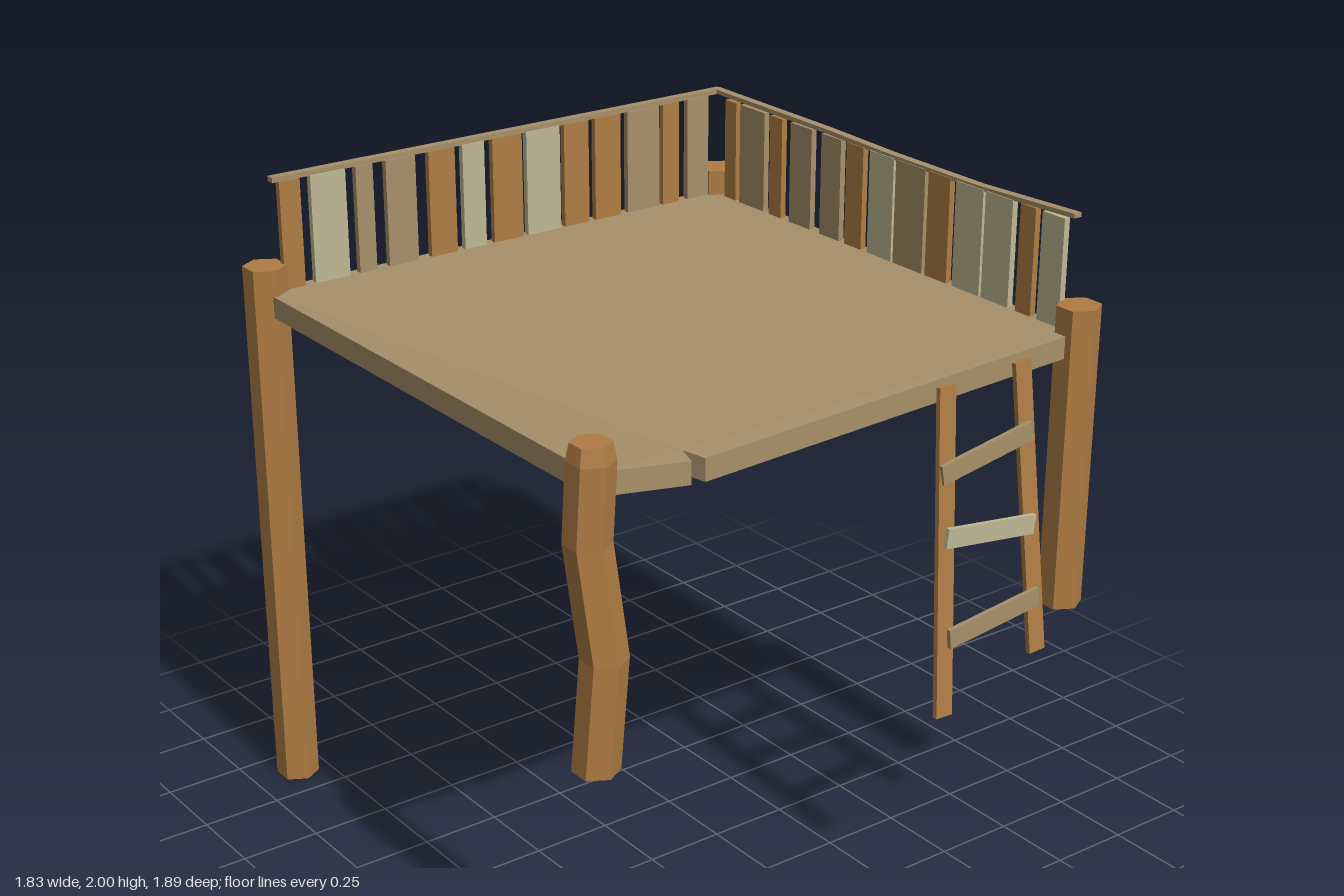
import * as THREE from 'three';

const mat = (color) => new THREE.MeshStandardMaterial({ color, flatShading: true });

export function createModel() {
  const group = new THREE.Group();
  const wood = { o: mat(0xb07d44), t: mat(0xa6906a), p: mat(0xbdb994) };

  const add = (name, geometry, material, x = 0, y = 0, z = 0) => {
    const mesh = new THREE.Mesh(geometry, material);
    mesh.name = name;
    mesh.position.set(x, y, z);
    group.add(mesh);
    return mesh;
  };

  // Straight hexagonal posts: one reaches the ground, two are cut short
  const post = (name, x, z, bottom) =>
    add(name, new THREE.CylinderGeometry(0.067, 0.067, 1.73 - bottom, 6), wood.o, x, (1.73 + bottom) / 2, z);
  post('longBackPost', -0.85, -0.88, 0);
  post('shortBackPost', 0.855, -0.88, 0.785);
  post('shortFrontPost', 0.855, 0.82, 0.785);

  // Crooked post: rings of a hexagonal cylinder shifted along a bent axis
  const rings = [ // y, x, z, radius, from the top down
    [1.73, -0.852, 0.815, 0.056],
    [1.68, -0.852, 0.815, 0.067],
    [1.45, -0.862, 0.808, 0.067],
    [1.12, -0.832, 0.835, 0.067],
    [0.785, -0.852, 0.82, 0.067],
  ];
  const bent = new THREE.CylinderGeometry(1, 1, 1, 6, rings.length - 1);
  const pos = bent.attributes.position;
  for (let i = 0; i < pos.count; i++) {
    const [y, x, z, r] = rings[Math.round((0.5 - pos.getY(i)) * (rings.length - 1))];
    pos.setXYZ(i, x + pos.getX(i) * r, y, z + pos.getZ(i) * r);
  }
  bent.computeVertexNormals();
  add('crookedPost', bent, wood.o);

  // Deck: a slab fanned out from the tip of the crack, sagging around it
  const outline = [ // first point is the crack tip, then round the edge
    [-0.52, 1.603, 0.755], [-0.5, 1.6, 0.83], [0.86, 1.65, 0.83], [0.86, 1.65, -0.885],
    [-0.86, 1.65, -0.885], [-0.86, 1.65, 0.83], [-0.545, 1.603, 0.83],
  ];
  const n = outline.length;
  const thick = 0.068;
  const verts = [];
  const top = (i) => outline[i % n];
  const low = (i) => { const [x, y, z] = top(i); return [x, y - thick, z]; };
  const tri = (...corners) => corners.forEach((c) => verts.push(...c));
  for (let i = 1; i < n - 1; i++) {
    tri(top(0), top(i), top(i + 1));
    tri(low(0), low(i + 1), low(i));
  }
  for (let i = 0; i < n; i++) {
    tri(top(i), low(i), low(i + 1));
    tri(top(i), low(i + 1), top(i + 1));
  }
  const slab = new THREE.BufferGeometry();
  slab.setAttribute('position', new THREE.Float32BufferAttribute(verts, 3));
  slab.computeVertexNormals();
  add('deck', slab, wood.t);

  // Fence planks: start, end, wood
  const backPlanks = [
    [-0.8, -0.73, 'o'], [-0.695, -0.575, 'p'], [-0.54, -0.48, 't'], [-0.435, -0.33, 't'],
    [-0.283, -0.188, 'o'], [-0.16, -0.08, 'p'], [-0.05, 0.06, 'o'], [0.077, 0.204, 'p'],
    [0.22, 0.315, 'o'], [0.34, 0.44, 'o'], [0.468, 0.595, 't'], [0.61, 0.675, 'o'], [0.71, 0.796, 't'],
  ];
  const sidePlanks = [
    [0.677, 0.767, 'p'], [0.587, 0.65, 'o'], [0.44, 0.555, 'p'], [0.312, 0.43, 'p'],
    [0.19, 0.286, 'o'], [0.042, 0.175, 't'], [-0.08, 0.032, 'p'], [-0.19, -0.11, 'o'],
    [-0.312, -0.217, 't'], [-0.466, -0.36, 't'], [-0.57, -0.508, 'o'], [-0.725, -0.598, 't'],
    [-0.804, -0.746, 'o'],
  ];
  const plankTop = 1.985, plankBase = 1.64;
  const h = plankTop - plankBase, midY = (plankTop + plankBase) / 2;
  for (const [a, b, k] of backPlanks)
    add('backPlank', new THREE.BoxGeometry(b - a, h, 0.02), wood[k], (a + b) / 2, midY, -0.862);
  for (const [a, b, k] of sidePlanks)
    add('sidePlank', new THREE.BoxGeometry(0.02, h - 0.007, b - a), wood[k], 0.839, midY - 0.0035, (a + b) / 2);

  // Handrails: straight at the back, sagging along the side
  add('backRail', new THREE.BoxGeometry(1.675, 0.016, 0.028), wood.t, 0.018, 1.992, -0.871);
  const sag = [[-0.875, 2], [-0.3, 1.995], [0, 1.987], [0.4, 1.985], [0.8, 2]];
  const profile = [...sag, ...sag.map(([z, y]) => [z, y - 0.014]).reverse()];
  const railShape = new THREE.Shape(profile.map(([z, y]) => new THREE.Vector2(z, y)));
  const rail = new THREE.ExtrudeGeometry(railShape, { depth: 0.028, bevelEnabled: false });
  add('sideRail', rail.rotateY(-Math.PI / 2), wood.t, 0.86);

  // Ladder: leaning stiles and crooked rungs, each a board between two points
  const board = (name, from, to, width, depth, material) => {
    const a = new THREE.Vector3(...from), b = new THREE.Vector3(...to);
    const mesh = add(name, new THREE.BoxGeometry(width, a.distanceTo(b), depth), material);
    mesh.position.copy(a).add(b).multiplyScalar(0.5);
    mesh.quaternion.setFromUnitVectors(new THREE.Vector3(0, 1, 0), b.sub(a).normalize());
  };
  board('ladderStile', [0.285, 0.628, 0.939], [0.33, 1.61, 0.843], 0.06, 0.016, wood.o);
  board('ladderStile', [0.655, 0.725, 0.93], [0.615, 1.62, 0.843], 0.06, 0.016, wood.o);
  board('ladderRung', [0.295, 1.36, 0.878], [0.635, 1.415, 0.878], 0.06, 0.014, wood.t);
  board('ladderRung', [0.3, 1.175, 0.904], [0.64, 1.13, 0.904], 0.06, 0.014, wood.p);
  board('ladderRung', [0.3, 0.87, 0.934], [0.645, 0.908, 0.934], 0.06, 0.014, wood.t);

  return group;
}
